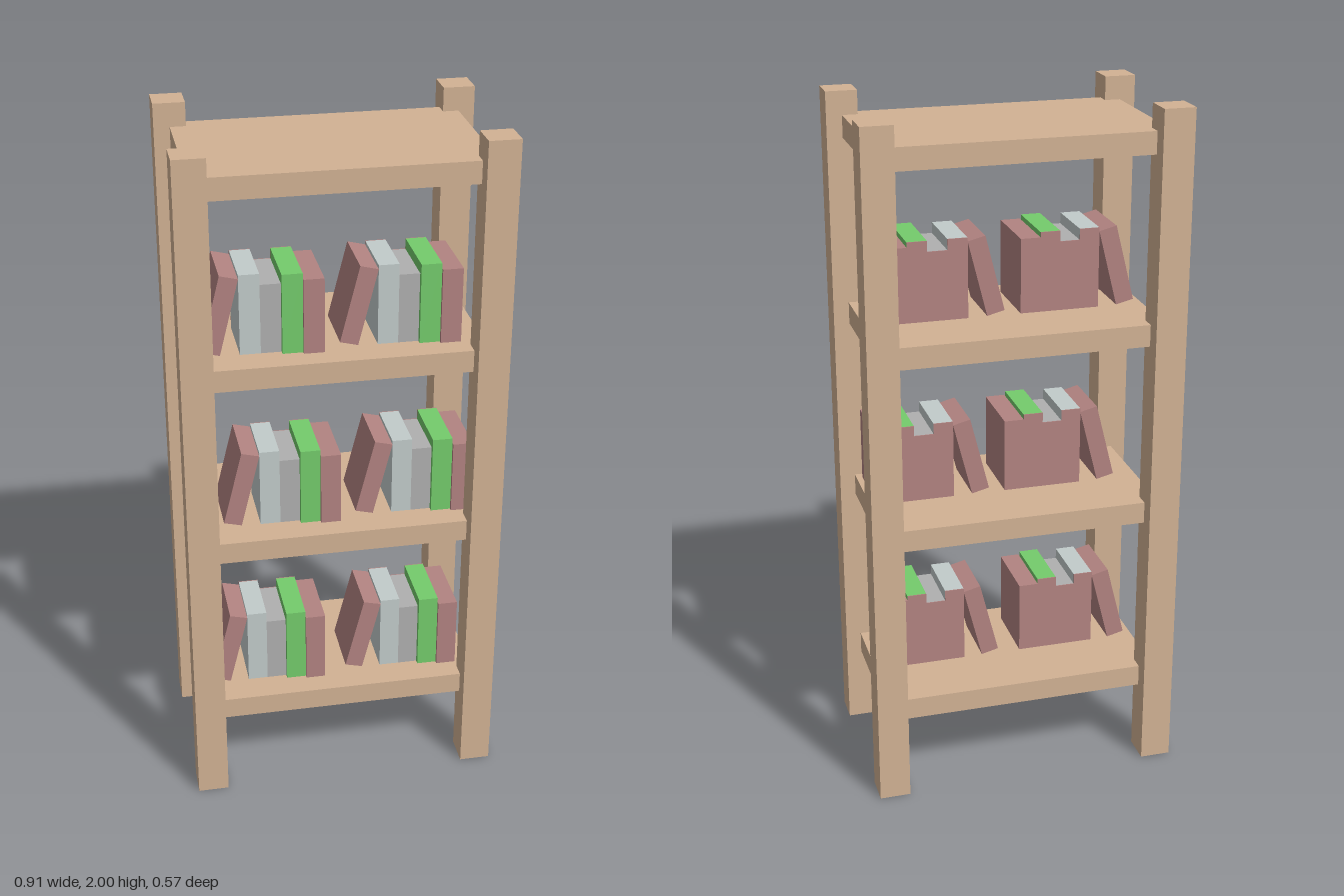
import * as THREE from 'three';

const material = (color) => new THREE.MeshStandardMaterial({ color });
const wood = material(0xd2b294);
const red = material(0xb28381);
const green = material(0x74cc6c);
const paleGrey = material(0xc2cccb);
const midGrey = material(0xb0b0b0);

function box(name, w, h, d, x, y, z, mat) {
  const mesh = new THREE.Mesh(new THREE.BoxGeometry(w, h, d), mat);
  mesh.name = name;
  mesh.position.set(x, y, z);
  return mesh;
}

const BACK = -0.04; // shared plane of all book backs

// A book standing on y = 0, with a red strip closing its back
function makeBook(width, height, front, mat) {
  const book = new THREE.Group();
  book.name = 'book';
  const strip = 0.003;
  const depth = front - BACK - strip;
  book.add(box('bookBody', width, height, depth, 0, height / 2, front - depth / 2, mat));
  book.add(box('bookBack', width, height, strip, 0, height / 2, BACK + strip / 2, red));
  return book;
}

// Four upright books and one leaning against them
function makeBookRow() {
  const row = new THREE.Group();
  row.name = 'bookRow';
  const upright = [
    [0.235, 0.145, paleGrey],
    [0.203, 0.145, midGrey],
    [0.234, 0.16, green],
    [0.219, 0.17, red],
  ];
  const width = 0.058;
  upright.forEach(([height, front, mat], i) => {
    const book = makeBook(width, height, front, mat);
    book.position.x = 0.111 + width * (i + 0.5);
    row.add(book);
  });
  const leaning = makeBook(0.053, 0.229, 0.145, red);
  leaning.name = 'leaningBook';
  leaning.position.set(0.03, 0.008, 0);
  leaning.rotation.z = -0.245;
  row.add(leaning);
  return row;
}

export function createModel() {
  const model = new THREE.Group();
  model.name = 'bookcase';

  // Corner posts
  for (const x of [-0.409, 0.409]) {
    for (const z of [-0.239, 0.239]) {
      model.add(box('post', 0.09, 2, 0.09, x, 1, z, wood));
    }
  }

  // Shelves, with two rows of books on each of the lower three
  const rowOffsets = [[-0.386, 0.021], [-0.339, 0.048], [-0.386, 0], []];
  rowOffsets.forEach((offsets, i) => {
    const bottom = 0.23 + 0.546 * i;
    model.add(box('shelf', 0.818, 0.064, 0.474, 0, bottom + 0.032, 0, wood));
    for (const x of offsets) {
      const row = makeBookRow();
      row.position.set(x, bottom + 0.064, 0);
      model.add(row);
    }
  });
  return model;
}
